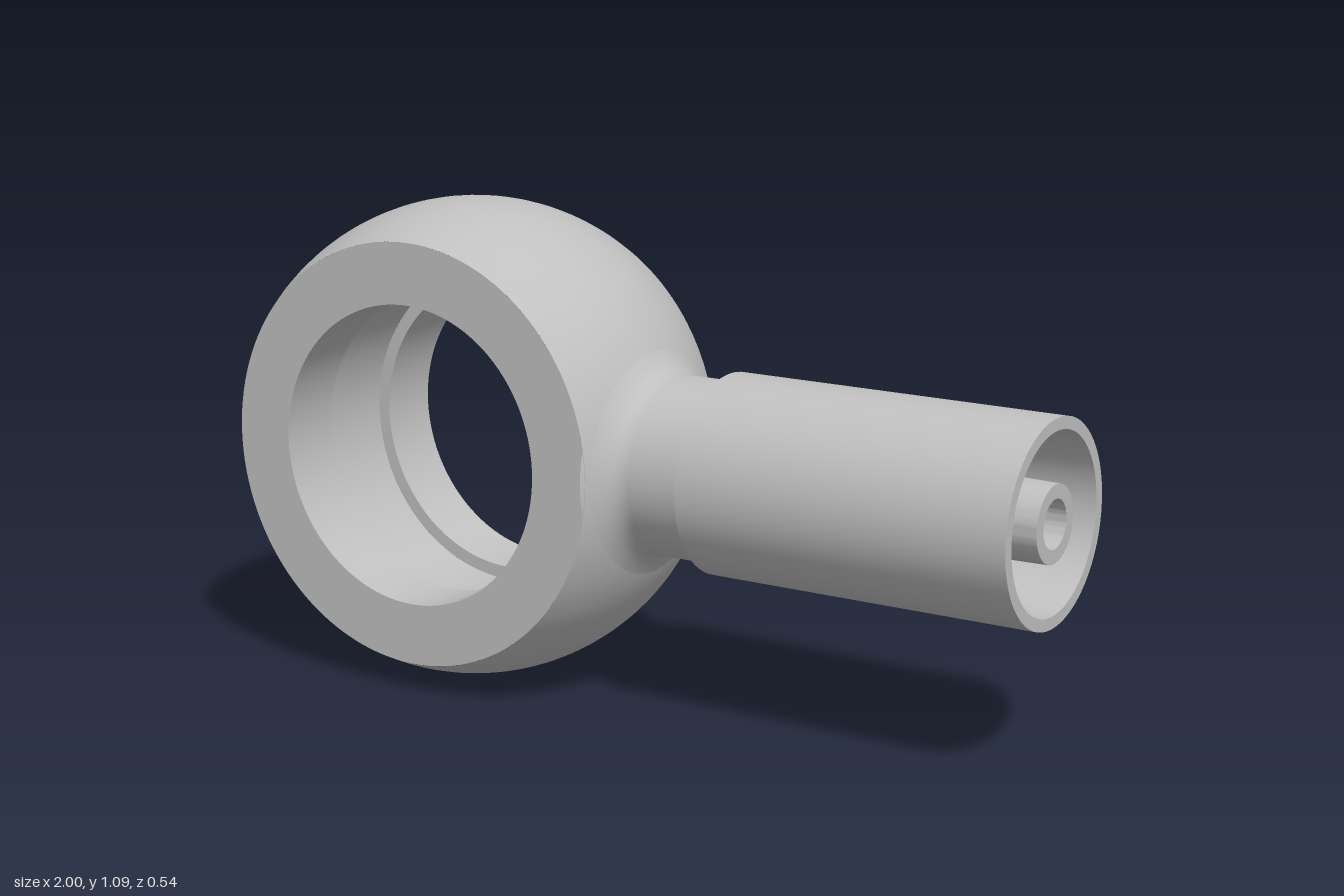
import * as THREE from 'three';
import { mergeGeometries, toCreasedNormals } from 'three/addons/utils/BufferGeometryUtils.js';

const CX = -0.455, CY = 0.546;          // centre of the eye
const BALL = 0.545, HALF = 0.26;        // ball radius, half width
const BORE = 0.34, GROOVE = 0.37, GROOVE_HALF = 0.11;
const HOLE = 0.053;                     // fluid passage radius

const lathe = (pts, seg, start = 0, len = Math.PI * 2) =>
  new THREE.LatheGeometry(pts.map(([r, y]) => new THREE.Vector2(r, y)), seg, start, len);

const strip = (g) => {
  const out = g.index ? g.toNonIndexed() : g;
  out.deleteAttribute('uv');
  out.deleteAttribute('normal');
  return out;
};

// Surface of revolution about z with a round window facing +x
function windowedBand(radiusAt, half, window, inward) {
  const rows = 16, gap = Math.asin(half / radiusAt(half));
  const profile = [];
  for (let i = 0; i <= rows; i++) {
    const z = -half + (2 * half * i) / rows;
    profile.push([radiusAt(z), z]);
  }
  if (inward) profile.reverse();
  const band = lathe(profile, 112, Math.PI / 2 + gap, Math.PI * 2 - 2 * gap).rotateX(Math.PI / 2);

  // patch running from the round window out to the square gap
  const n = rows * 4, rings = 10, pos = [], idx = [];
  for (let j = 0; j <= rings; j++) {
    for (let i = 0; i < n; i++) {
      const side = Math.floor(i / rows), t = ((i % rows) / rows) * 2 - 1;
      const [u, v] = [[1, t], [-t, 1], [-1, -t], [t, -1]][side];
      const ang = side * Math.PI / 2 + t * Math.PI / 4;
      const cz = window * Math.sin(ang);
      const cPhi = Math.asin(window * Math.cos(ang) / radiusAt(cz));
      const k = j / rings;
      const phi = cPhi + (u * gap - cPhi) * k, z = cz + (v * half - cz) * k;
      const r = radiusAt(z);
      pos.push(r * Math.cos(phi), r * Math.sin(phi), z);
    }
  }
  for (let j = 0; j < rings; j++) {
    for (let i = 0; i < n; i++) {
      const a = j * n + i, b = j * n + (i + 1) % n, c = a + n, d = b + n;
      if (inward) idx.push(a, d, c, a, b, d);
      else idx.push(a, c, d, a, d, b);
    }
  }
  const patch = new THREE.BufferGeometry();
  patch.setAttribute('position', new THREE.Float32BufferAttribute(pos, 3));
  patch.setIndex(idx);
  return toCreasedNormals(mergeGeometries([strip(band), strip(patch)]), 0.5);
}

export function createModel() {
  const steel = new THREE.MeshStandardMaterial({ color: 0xc0c0c0 });
  steel.name = 'steel grey';
  const model = new THREE.Group();
  model.name = 'banjoFitting';
  const add = (parent, name, geometry) => {
    const mesh = new THREE.Mesh(geometry, steel);
    mesh.name = name;
    parent.add(mesh);
  };

  // Eye: ball cut flat on both faces, bored through, with an inner groove
  const eye = new THREE.Group();
  eye.name = 'eye';
  eye.position.set(CX, CY, 0);
  model.add(eye);
  add(eye, 'ballSurface', windowedBand((z) => Math.sqrt(BALL * BALL - z * z), HALF, 0.15, false));
  add(eye, 'grooveFloor', windowedBand(() => GROOVE, GROOVE_HALF, HOLE, true));
  const rim = Math.sqrt(BALL * BALL - HALF * HALF);
  const halves = [
    [[rim, HALF], [BORE, HALF], [BORE, GROOVE_HALF], [GROOVE, GROOVE_HALF]],
    [[GROOVE, -GROOVE_HALF], [BORE, -GROOVE_HALF], [BORE, -HALF], [rim, -HALF]],
  ];
  halves.forEach((pts, i) => add(eye, i ? 'backFaceAndBore' : 'frontFaceAndBore',
    toCreasedNormals(lathe(pts, 128).rotateX(Math.PI / 2), 0.5)));

  // Shank parts, profiles given as [radius, x]
  const shank = new THREE.Group();
  shank.name = 'shank';
  shank.position.y = CY;
  model.add(shank);
  const profiles = {
    neck: [[0.27, 0.017], [0.242, 0.034], [0.222, 0.049], [0.208, 0.064], [0.201, 0.08],
      [0.2, 0.095], [0.2, 0.225]],
    sleeve: [[0.2, 0.225], [0.222, 0.225], [0.222, 1], [0.195, 1], [0.165, 0.35], [0.093, 0.35]],
    nipple: [[0.093, 0.35], [0.084, 1], [HOLE, 1]],
    passage: [[HOLE, 1], [HOLE, -0.087]],
  };
  for (const [name, pts] of Object.entries(profiles)) {
    add(shank, name, toCreasedNormals(lathe(pts, 64).rotateZ(-Math.PI / 2), 0.5));
  }
  return model;
}
